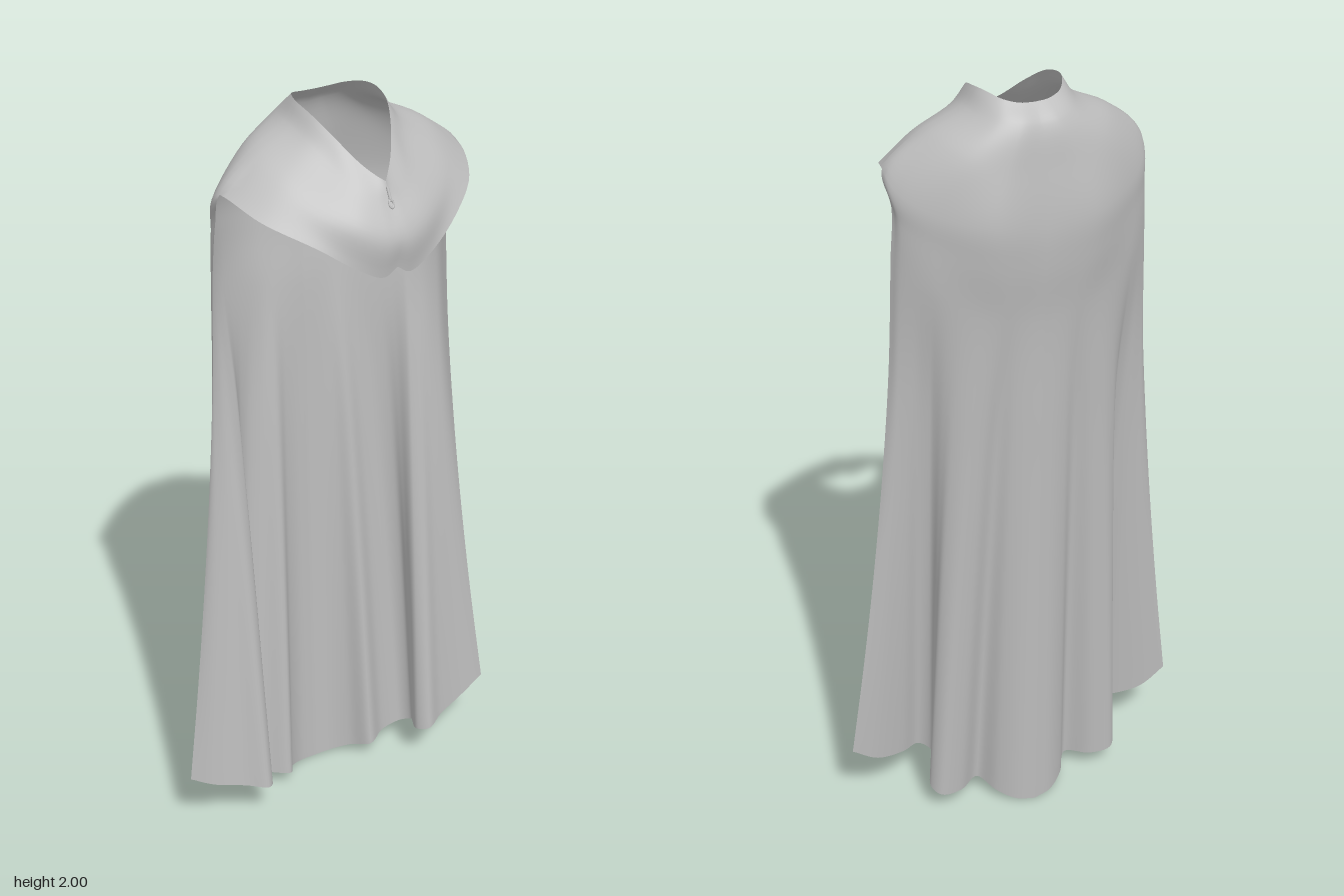
import * as THREE from 'three';
import { mergeVertices } from 'three/addons/utils/BufferGeometryUtils.js';

const curve = (pts) => new THREE.CatmullRomCurve3(pts.map((p) => new THREE.Vector3(...p)));

// Shoulder rings from neck to hem, each running from front centre over the side (sixth point) to back centre
const RINGS = [
  [[0, 1.86, 0.17], [0.012, 1.868, 0.157], [0.04, 1.895, 0.125], [0.075, 1.945, 0.07], [0.1, 1.985, 0.01],
    [0.106, 2, -0.05], [0.095, 2, -0.09], [0.07, 1.99, -0.13], [0.035, 1.982, -0.147], [0, 1.98, -0.15]],
  [[0, 1.82, 0.186], [0.025, 1.825, 0.182], [0.065, 1.845, 0.16], [0.1, 1.89, 0.1], [0.128, 1.935, 0.03],
    [0.135, 1.955, -0.04], [0.125, 1.955, -0.11], [0.095, 1.95, -0.16], [0.05, 1.94, -0.185], [0, 1.935, -0.187]],
  [[0, 1.74, 0.232], [0.035, 1.74, 0.23], [0.1, 1.77, 0.205], [0.175, 1.815, 0.14], [0.215, 1.87, 0.06],
    [0.232, 1.905, -0.03], [0.22, 1.9, -0.1], [0.175, 1.87, -0.17], [0.095, 1.84, -0.208], [0, 1.83, -0.21]],
  [[0, 1.67, 0.226], [0.035, 1.65, 0.224], [0.1, 1.68, 0.214], [0.185, 1.737, 0.18], [0.28, 1.79, 0.095],
    [0.323, 1.826, -0.025], [0.313, 1.79, -0.085], [0.25, 1.75, -0.157], [0.13, 1.72, -0.225], [0, 1.7, -0.227]],
].map(curve);

// Drape rings below the shoulders and the pleated floor hem, each from outer edge to back centre
const DRAPE_NECK = curve([[0.317, 1.745, -0.062], [0.31, 1.71, -0.1], [0.25, 1.67, -0.16], [0.132, 1.62, -0.22], [0, 1.6, -0.225]]);
const DRAPE_TOP = curve([[0.325, 1.62, -0.068], [0.314, 1.58, -0.1], [0.252, 1.54, -0.155], [0.132, 1.48, -0.202], [0, 1.45, -0.21]]);
const DRAPE_HEM = curve([
  [0.46, 0.2, -0.032], [0.39, 0.155, -0.03], [0.31, 0.135, -0.008], [0.255, 0.125, 0.02], [0.23, 0.115, -0.008],
  [0.25, 0.1, -0.06], [0.27, 0.075, -0.1], [0.25, 0.058, -0.13], [0.19, 0.052, -0.125], [0.13, 0.05, -0.088],
  [0.095, 0.028, -0.138], [0.05, 0.008, -0.17], [0, 0, -0.18],
]);

const NF = 30, NB = 72, N = NF + NB; // columns in each half
const STEP = 6, MANTLE_ROWS = 3 * STEP; // rows between rings
const LEVELS = [0, 0.2, 0.4, 0.6, 0.8, 1];
const ALL_ROWS = (RINGS.length + LEVELS.length) * STEP;

// Points down one column of cloth; the back columns go on to the floor
function columnPoints(c) {
  if (c < NF) {
    const path = new THREE.CatmullRomCurve3(RINGS.map((r) => r.getPoint((5 / 9) * (c / NF))));
    return Array.from({ length: MANTLE_ROWS + 1 }, (_, i) => path.getPoint(i / MANTLE_ROWS));
  }
  const s = (c - NF) / NB, q = Math.pow(s, 0.65);
  const pts = RINGS.map((r) => r.getPoint((5 + 4 * q) / 9));
  const top = DRAPE_TOP.getPoint(q), hem = DRAPE_HEM.getPoint(s);
  const power = THREE.MathUtils.lerp(1.5, 0.8, Math.min(1, s / 0.33)); // inner pleats start higher
  pts.push(DRAPE_NECK.getPoint(q));
  for (const t of LEVELS) {
    const p = top.clone().lerp(hem, Math.pow(t, power));
    p.y = THREE.MathUtils.lerp(top.y, hem.y, t);
    pts.push(p);
  }
  const path = new THREE.CatmullRomCurve3(pts);
  return Array.from({ length: ALL_ROWS + 1 }, (_, i) => path.getPoint(i / ALL_ROWS));
}

// One continuous cloth surface, so normals stay smooth between shoulders and drape
function clothGeometries() {
  const half = Array.from({ length: N + 1 }, (_, c) => columnPoints(c));
  const pos = [], start = [], mantle = [], drape = [];
  for (let c = -N; c <= N; c++) {
    const a = Math.abs(c);
    start.push(pos.length / 3);
    for (const p of half[a]) pos.push(a === 0 || a === N ? 0 : Math.sign(c) * p.x, p.y, p.z);
  }
  for (let k = 0; k < 2 * N; k++) {
    const isBack = Math.min(Math.abs(k - N), Math.abs(k + 1 - N)) >= NF;
    const rows = isBack ? ALL_ROWS : MANTLE_ROWS;
    for (let i = 0; i < rows; i++) {
      const a = start[k] + i, b = start[k + 1] + i;
      (i < MANTLE_ROWS ? mantle : drape).push(a, a + 1, b, b, a + 1, b + 1);
    }
  }
  let geo = new THREE.BufferGeometry();
  geo.setAttribute('position', new THREE.Float32BufferAttribute(pos, 3));
  geo.setIndex([...mantle, ...drape]);
  geo = mergeVertices(geo, 1e-6);
  geo.computeVertexNormals();
  const index = Array.from(geo.index.array);
  return [index.slice(0, mantle.length), index.slice(mantle.length)].map((idx) => {
    const part = new THREE.BufferGeometry();
    part.setAttribute('position', geo.getAttribute('position'));
    part.setAttribute('normal', geo.getAttribute('normal'));
    part.setIndex(idx);
    return part;
  });
}

export function createModel() {
  const cloak = new THREE.Group();
  cloak.name = 'cloak';
  const cloth = new THREE.MeshStandardMaterial({ color: 0xbcbcbc, side: THREE.DoubleSide });
  cloth.name = 'grey cloth';

  const add = (geometry, name, parent = cloak) => {
    const mesh = new THREE.Mesh(geometry, cloth);
    mesh.name = name;
    parent.add(mesh);
    return mesh;
  };

  const [mantle, drape] = clothGeometries();
  add(mantle, 'shoulderMantle');
  add(drape, 'backDrape');

  // Small clasp closing the neckline
  const clasp = new THREE.Group();
  clasp.name = 'clasp';
  clasp.position.set(0, 1.835, 0.184);
  clasp.rotation.x = -0.5;
  add(new THREE.CapsuleGeometry(0.0035, 0.025, 4, 8), 'claspBar', clasp);
  const ring = add(new THREE.TorusGeometry(0.006, 0.0025, 6, 14), 'claspRing', clasp);
  ring.position.y = -0.024;
  ring.scale.y = 1.5;
  cloak.add(clasp);

  return cloak;
}
